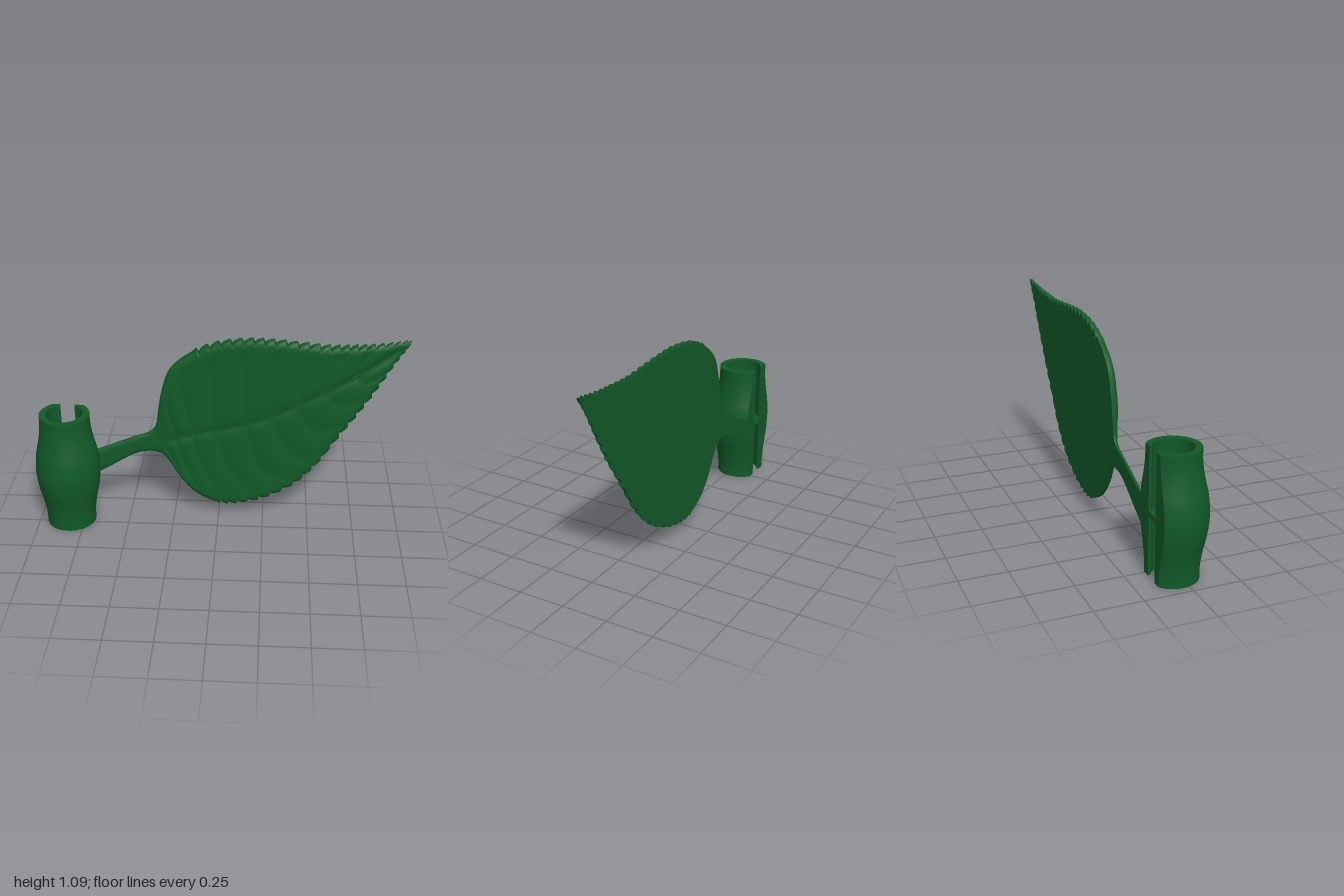
import * as THREE from 'three';
import { toCreasedNormals } from 'three/addons/utils/BufferGeometryUtils.js';

const BACK = -0.14; // flat rear plane shared by leaf and sleeve

// Skin closed rings of points; each end cap zips point i to point n-1-i.
function loft(rings, crease) {
  const n = rings[0].length, pos = [], idx = [];
  rings.forEach(r => r.forEach(p => pos.push(...p)));
  for (let s = 0; s < rings.length - 1; s++) {
    for (let i = 0; i < n; i++) {
      const a = s * n + i, b = s * n + (i + 1) % n;
      idx.push(a, a + n, b + n, a, b + n, b);
    }
  }
  const last = (rings.length - 1) * n;
  for (let i = 0; i < n / 2 - 1; i++) {
    const j = n - 1 - i;
    idx.push(i, i + 1, j - 1, i, j - 1, j);
    idx.push(last + i, last + j - 1, last + i + 1, last + i, last + j, last + j - 1);
  }
  const g = new THREE.BufferGeometry();
  g.setAttribute('position', new THREE.Float32BufferAttribute(pos, 3));
  g.setIndex(idx);
  return toCreasedNormals(g, crease);
}

// Matching stations from stem to tip: lower edge, midrib, upper edge
const LOWER = [[-.74, .22], [-.647, .267], [-.47, .374], [-.374, .396], [-.31, .38], [-.267, .33],
  [-.203, .225], [-.123, .139], [-.016, .086], [.1, .08], [.25, .12], [.41, .21], [.535, .342],
  [.652, .524], [.755, .68], [.845, .83], [.925, .97], [.985, 1.062]];
const MID = [[-.74, .3], [-.647, .337], [-.47, .43], [-.385, .455], [-.33, .465], [-.27, .48],
  [-.2, .5], [-.12, .52], [-.02, .545], [.118, .578], [.22, .61], [.33, .658], [.44, .72],
  [.56, .79], [.68, .86], [.8, .94], [.91, 1.02], [.99, 1.076]];
const UPPER = [[-.74, .37], [-.647, .406], [-.47, .48], [-.385, .513], [-.345, .556], [-.328, .66],
  [-.305, .78], [-.257, .904], [-.144, 1.0], [0, 1.06], [.15, 1.08], [.29, 1.077], [.44, 1.064],
  [.58, 1.052], [.7, 1.055], [.81, 1.062], [.92, 1.076], [.996, 1.09]];

function leafGeometry() {
  const [lower, mid, upper] = [LOWER, MID, UPPER].map(
    list => new THREE.SplineCurve(list.map(p => new THREE.Vector2(...p))));
  const side = [0, .03, .06, .1, .15, .2, .27, .34, .41, .48, .55, .62, .69, .76, .82, .87, .91, .94, .96, .98, .992, 1];
  const vs = [...side.slice(1).reverse().map(t => -t), ...side];
  const stations = MID.length - 1, steps = stations * 15;
  const smooth = THREE.MathUtils.smoothstep;
  const rings = [];
  for (let k = 0; k <= steps; k++) {
    const u = k / 15, c = mid.getPoint(k / steps);
    const blade = smooth(u, 3.3, 6);
    const thick = .021 + .019 * blade * (1 - smooth(u, 14, 17));
    // Forward-pointing teeth along the margin
    const f = ((k + 2) % 6) / 5;
    const tooth = u > 8 && u < 16.8 ? .024 * (Math.sqrt(f) - .65) : 0;
    const ring = vs.map(v => {
      const t = Math.abs(v);
      const edge = (v < 0 ? lower : upper).getPoint(k / steps);
      const out = edge.clone().sub(c), half = out.length();
      out.normalize();
      const p = c.clone().lerp(edge, t).addScaledVector(out, tooth * t ** 10);
      // Rounded margin
      const q = 1 - Math.min((1 - t) * half / .035, 1);
      let h = thick * (.4 + .6 * Math.sqrt(1 - q * q));
      // Sunken midrib and side veins
      const phase = (u - (v < 0 ? 1.9 : .7) * t * t - 5.6) / 1.25;
      const puff = Math.pow(Math.abs(Math.sin(Math.PI * phase)), .6);
      const fade = blade * (1 - smooth(u, 14.5, 16.5));
      h -= .008 * fade * (1 - puff) * smooth(t, 0, .08) * (1 - smooth(t, .7, .95));
      h -= .009 * blade * (1 - smooth(u, 16, 17)) * Math.exp(-((t * half / .022) ** 2));
      return [p.x, p.y, BACK + h];
    });
    const a = ring[ring.length - 1], b = ring[0];
    ring.push([a[0], a[1], BACK], [b[0], b[1], BACK]);
    rings.push(ring);
  }
  return loft(rings, 0.7);
}

// Barrel sleeve with a flat back, a straight bore and a slot
const CX = -0.825, CZ = -0.035, BORE = 0.1, SLOT = 0.04, HEIGHT = 0.667;

function sleeveGeometry() {
  const profile = new THREE.SplineCurve([[0, .135], [.06, .136], [.12, .143], [.18, .155], [.24, .168],
    [.333, .176], [.427, .168], [.487, .155], [.547, .143], [.607, .136], [HEIGHT, .135]]
    .map(p => new THREE.Vector2(...p)));
  const arcs = 64, flat = BACK - CZ, rings = [];
  const inEnd = Math.PI - Math.asin(SLOT / BORE);
  for (let s = 0; s <= 40; s++) {
    const { x: y, y: r } = profile.getPoint(s / 40);
    const outEnd = Math.acos(flat / r);
    const arc = (rad, end) => Array.from({ length: arcs + 1 }, (_, i) => {
      const a = -end + 2 * end * i / arcs;
      return [CX + rad * Math.sin(a), y, CZ + rad * Math.cos(a)];
    });
    const inner = arc(BORE, inEnd);
    const outer = [[CX - SLOT, y, BACK], ...arc(r, outEnd), [CX + SLOT, y, BACK]];
    const padded = [inner[0], ...inner, inner[arcs]];
    rings.push([...outer, ...padded.reverse()].reverse());
  }
  return loft(rings, 0.6);
}

export function createModel() {
  const green = new THREE.MeshStandardMaterial({ color: 0x115a28 });
  green.name = 'leafGreen';
  const model = new THREE.Group();
  model.name = 'leafClip';
  const add = (name, geometry, x = 0, y = 0, z = 0) => {
    const mesh = new THREE.Mesh(geometry, green);
    mesh.name = name;
    mesh.position.set(x, y, z);
    model.add(mesh);
  };
  add('leafAndStem', leafGeometry());
  add('sleeve', sleeveGeometry());
  // Partition closing the bore at mid height, reaching through the slot
  add('partition', new THREE.CylinderGeometry(BORE + .001, BORE + .001, .025, 64), CX, .325, CZ);
  add('partitionTab', new THREE.BoxGeometry(SLOT * 2, .025, .04), CX, .325, BACK + .02);
  return model;
}
